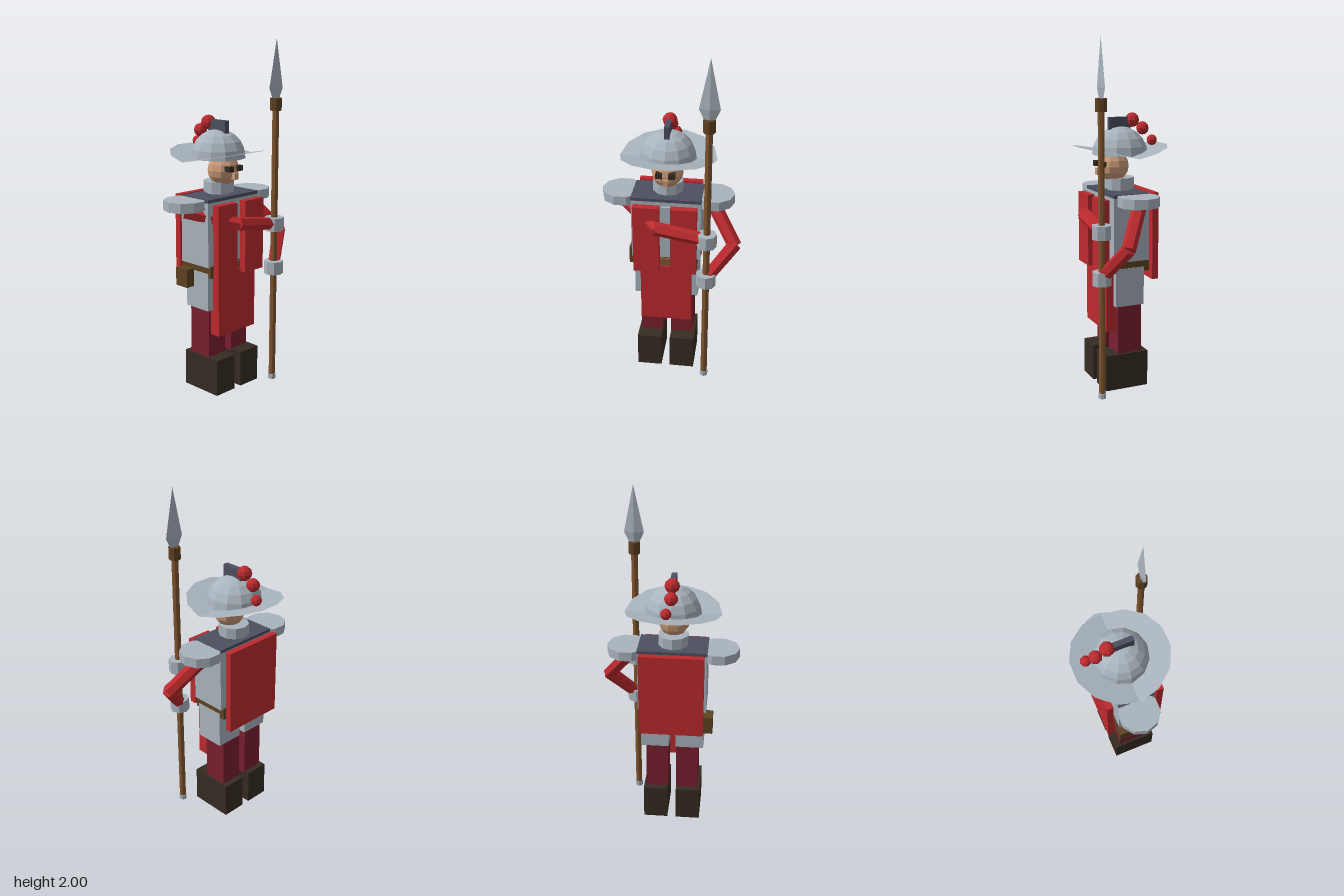
import * as THREE from 'three';

const CX = -0.027; // body axis

export function createModel() {
  const model = new THREE.Group();
  model.name = 'guardWithSpear';

  const mat = (name, color, side = THREE.FrontSide) => {
    const m = new THREE.MeshStandardMaterial({ color, side, flatShading: true });
    m.name = name;
    return m;
  };
  const steel = mat('steel', 0xa9b4bd, THREE.DoubleSide);
  const slate = mat('darkSteel', 0x4b5060);
  const red = mat('redCloth', 0xbd2a2e);
  const crimson = mat('crimsonHose', 0x7a1f2e);
  const leather = mat('bootLeather', 0x362c22);
  const brown = mat('beltLeather', 0x5f4222);
  const wood = mat('wood', 0x80552f);
  const skin = mat('skin', 0xcb9a78);

  const add = (name, geo, material, x = 0, y = 0, z = 0) => {
    const mesh = new THREE.Mesh(geo, material);
    mesh.name = name;
    mesh.position.set(x, y, z);
    model.add(mesh);
    return mesh;
  };
  // Box given by its limits on each axis
  const box = (name, m, [x0, x1], [y0, y1], [z0, z1]) =>
    add(name, new THREE.BoxGeometry(x1 - x0, y1 - y0, z1 - z0), m,
      (x0 + x1) / 2, (y0 + y1) / 2, (z0 + z1) / 2);
  // Upright prism between two heights
  const post = (name, m, r, y0, y1, x, z, sides = 8) =>
    add(name, new THREE.CylinderGeometry(r, r, y1 - y0, sides), m, x, (y0 + y1) / 2, z);
  // Limb segment between two points
  const limb = (name, a, b, r0, r1) => {
    const p = new THREE.Vector3(...a), q = new THREE.Vector3(...b);
    const d = q.clone().sub(p);
    const mesh = add(name, new THREE.CylinderGeometry(r1, r0, d.length(), 6), red);
    mesh.position.copy(p).add(q).multiplyScalar(0.5);
    mesh.quaternion.setFromUnitVectors(new THREE.Vector3(0, 1, 0), d.normalize());
  };

  // Boots, legs, thigh plates and front panels, one per side
  for (const s of [-1, 1]) {
    const side = s < 0 ? 'right' : 'left';
    const span = (a, b) => (s < 0 ? [CX - b, CX - a] : [CX + a, CX + b]);
    box(side + 'Boot', leather, span(0.026, 0.17), [0, 0.21], [-0.1, 0.16]);
    box(side + 'Leg', crimson, span(0.025, 0.155), [0.2, 0.54], [-0.066, 0.08]);
    box(side + 'ThighPlate', steel, span(0.02, 0.185), [0.5, 0.72], [-0.067, 0.106]);
    box(side + 'ChestPanel', red, span(0.032, 0.18), [0.7, 1.115], [0.143, 0.185]);
    const pauldron = post(side + 'Pauldron', steel, 0.118, 1.085, 1.14, CX + s * 0.26, 0.002, 10);
    pauldron.rotation.y = s * Math.PI / 2;
  }

  // Trunk, skirt, belt and back cloth
  box('breastplate', steel, [-0.225, 0.171], [0.76, 1.127], [-0.092, 0.122]);
  box('breastRidge', steel, [-0.053, 0], [0.8, 1.1], [0.12, 0.138]);
  box('shoulderYoke', slate, [-0.226, 0.172], [1.125, 1.143], [-0.093, 0.123]);
  box('belt', brown, [-0.21, 0.156], [0.695, 0.765], [-0.1, 0.127]);
  box('buckle', wood, [-0.06, 0.008], [0.7, 0.763], [0.125, 0.142]);
  box('pouch', brown, [-0.265, -0.195], [0.625, 0.73], [-0.1, -0.01]);
  box('frontSkirt', red, [-0.172, 0.122], [0.35, 0.72], [0.087, 0.15]);
  box('backCloth', red, [-0.212, 0.158], [0.64, 1.14], [-0.157, -0.12]);

  // Neck and head
  post('neckGuard', steel, 0.07, 1.11, 1.16, CX, 0.005, 10);
  post('collar', steel, 0.087, 1.152, 1.215, CX, 0.005, 10);
  add('head', new THREE.SphereGeometry(0.09, 10, 8), skin, CX, 1.28, 0.042);
  for (const s of [-1, 1])
    box(s < 0 ? 'rightEye' : 'leftEye', leather,
      [CX + s * 0.036 - 0.018, CX + s * 0.036 + 0.018], [1.28, 1.31], [0.105, 0.143]);
  box('nose', skin, [CX - 0.014, CX + 0.014], [1.235, 1.272], [0.11, 0.148]);

  // Helmet dome
  add('helmetDome', new THREE.SphereGeometry(0.159, 12, 5, 0, Math.PI * 2, 0, Math.PI / 2),
    steel, CX, 1.345, 0);
  // Brim swept up at front and back
  const brim = new THREE.RingGeometry(0.14, 0.273, 14, 1).rotateX(-Math.PI / 2);
  const bp = brim.attributes.position;
  for (let i = 0; i < bp.count; i++) bp.setY(i, 0.052 * Math.abs(bp.getZ(i)) / 0.266);
  brim.computeVertexNormals();
  add('helmetBrim', brim, steel, CX, 1.345, -0.003);
  box('helmetCrest', slate, [CX - 0.015, CX + 0.015], [1.45, 1.555], [-0.06, 0.07]);
  // Plume balls down the back
  for (const [x, y, z, r] of [[CX, 1.537, -0.077, 0.042], [CX, 1.488, -0.142, 0.038], [-0.003, 1.42, -0.19, 0.031]])
    add('plumeBall', new THREE.SphereGeometry(r, 8, 6), red, x, y, z);

  // Arms
  const SX = 0.214, SZ = 0.215; // spear axis
  limb('leftUpperArm', [0.22, 1.085, -0.01], [0.366, 0.875, 0.125], 0.04, 0.04);
  limb('leftForearm', [0.368, 0.885, 0.12], [SX, 0.7, SZ], 0.04, 0.036);
  limb('rightUpperArm', [-0.285, 1.07, 0], [-0.06, 0.995, 0.205], 0.04, 0.038);
  limb('rightForearm', [-0.075, 1.0, 0.2], [SX, 0.957, SZ], 0.04, 0.036);
  post('leftGauntlet', steel, 0.056, 0.66, 0.735, SX, SZ);
  post('rightGauntlet', steel, 0.056, 0.918, 0.995, SX, SZ);

  // Spear
  post('spearShaft', wood, 0.019, 0.02, 1.64, SX, SZ);
  post('spearButt', steel, 0.023, 0, 0.03, SX, SZ);
  post('spearCollar', brown, 0.033, 1.605, 1.675, SX, SZ);
  const blade = new THREE.LatheGeometry(
    [[0, 1.67], [0.03, 1.675], [0.056, 1.73], [0, 2]].map(p => new THREE.Vector2(...p)), 4);
  blade.scale(1, 1, 0.25);
  add('spearBlade', blade, steel, SX, 0, SZ);

  return model;
}
